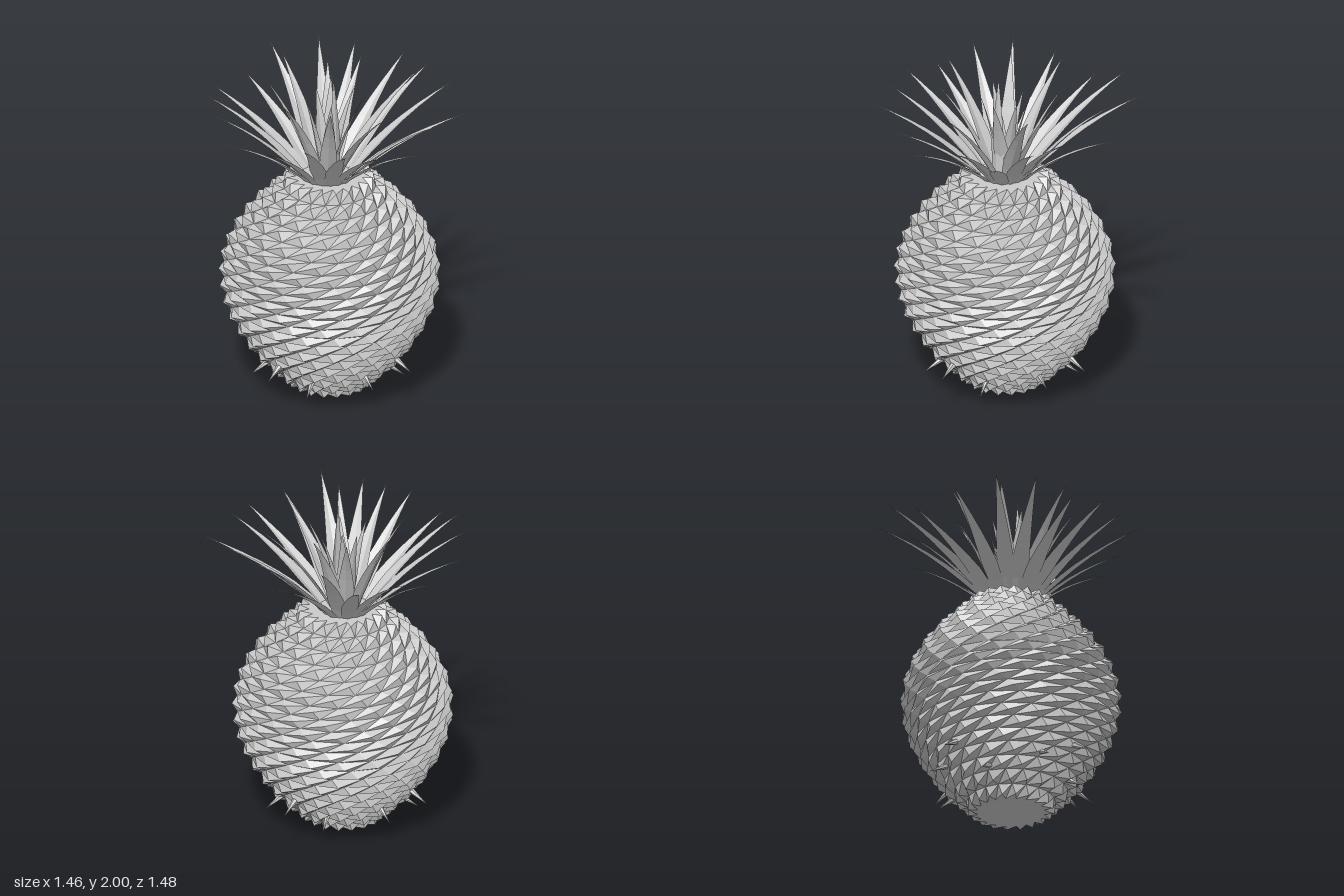
import * as THREE from 'three';

const CX = -0.02, CZ = 0.03; // fruit axis
const LX = -0.03, LZ = 0.04; // crown axis
const grey = new THREE.MeshStandardMaterial({ color: 0xcccccc, flatShading: true });
const thin = new THREE.MeshStandardMaterial({ color: 0xcccccc, flatShading: true, side: THREE.DoubleSide });

// Geometry from a flat list of triangle corners
function fromTriangles(corners) {
  const g = new THREE.BufferGeometry().setFromPoints(corners);
  g.computeVertexNormals();
  return g;
}

// Twisted rings of skewed cells, each cell raised to a low pyramid along its own normal
function makeBody() {
  const radii = [0.19, 0.255, 0.325, 0.38, 0.435, 0.475, 0.515, 0.545, 0.573, 0.59, 0.602,
    0.605, 0.602, 0.588, 0.567, 0.535, 0.498, 0.45, 0.39, 0.33, 0.265, 0.19];
  const N = 20, cell = 2 * Math.PI / N, spike = 0.04;
  const y0 = 0.05, h = 1.315 / (radii.length - 1);
  const point = (k, i) => {
    const a = (i + k * 0.6) * cell;
    return new THREE.Vector3(radii[k] * Math.sin(a), y0 + k * h, radii[k] * Math.cos(a));
  };
  const last = radii.length - 1;
  const bottom = new THREE.Vector3(0, 0.005, 0), top = new THREE.Vector3(0, y0 + last * h, 0);
  const tris = [];
  for (let i = 0; i < N; i++) {
    for (let k = 0; k < last; k++) {
      const a = point(k, i), b = point(k, i + 1), c = point(k + 1, i + 1), d = point(k + 1, i);
      const apex = a.clone().add(b).add(c).add(d).multiplyScalar(0.25);
      const slope = (radii[k] - radii[k + 1]) / h;
      const normal = new THREE.Vector3(apex.x, 0, apex.z).normalize().setY(slope).normalize();
      apex.addScaledVector(normal, spike);
      tris.push(a, b, apex, b, c, apex, c, d, apex, d, a, apex);
    }
    tris.push(bottom, point(0, i + 1), point(0, i));
    tris.push(top, point(last, i), point(last, i + 1));
  }
  const mesh = new THREE.Mesh(fromTriangles(tris), grey);
  mesh.name = 'scalyBody';
  return mesh;
}

// Small thorns leaning outward and down, three rings of four
function makeThorns() {
  const group = new THREE.Group();
  group.name = 'thorns';
  const geo = new THREE.ConeGeometry(0.018, 0.12, 6);
  for (const [r, y, deg] of [[0.53, 0.298, 4], [0.46, 0.235, -20], [0.395, 0.17, 24]]) {
    for (let q = 0; q < 4; q++) {
      const a = THREE.MathUtils.degToRad(deg + q * 90);
      const dir = new THREE.Vector3(Math.sin(a), -0.52, Math.cos(a)).normalize();
      const thorn = new THREE.Mesh(geo, grey);
      thorn.name = 'thorn';
      thorn.position.set(r * Math.sin(a), y, r * Math.cos(a));
      thorn.quaternion.setFromUnitVectors(new THREE.Vector3(0, 1, 0), dir);
      group.add(thorn);
    }
  }
  return group;
}

// Arching, lightly folded blade from the crown to a pointed tip
function makeLeaf([x, z, y], baseRadius, width) {
  const a = Math.atan2(x - LX, z - LZ), s = Math.sin(a), c = Math.cos(a);
  const reach = Math.hypot(x - LX, z - LZ), base = 1.35;
  const bend = baseRadius + (reach - baseRadius) * 0.4;
  const curve = new THREE.QuadraticBezierCurve3(
    new THREE.Vector3(LX + s * baseRadius, base, LZ + c * baseRadius),
    new THREE.Vector3(LX + s * bend, base + (y - base) * 0.61, LZ + c * bend),
    new THREE.Vector3(x, y, z));
  const rows = [], tris = [], steps = 7;
  for (let k = 0; k <= steps; k++) {
    const t = k / steps, p = curve.getPoint(t), d = curve.getTangent(t);
    const out = Math.hypot(d.x, d.z);
    const w = width * 0.5 * (t < 0.3 ? 0.75 + t * 0.83 : (1 - t) / 0.7);
    const fold = w * 0.3; // the midrib sinks toward the outside of the blade
    rows.push([
      new THREE.Vector3(p.x + c * w, p.y, p.z - s * w),
      new THREE.Vector3(p.x + s * d.y * fold, p.y - out * fold, p.z + c * d.y * fold),
      new THREE.Vector3(p.x - c * w, p.y, p.z + s * w),
    ]);
  }
  for (let k = 0; k < steps; k++) {
    for (let i = 0; i < 2; i++) {
      const [p, q, r, u] = [rows[k][i], rows[k + 1][i], rows[k + 1][i + 1], rows[k][i + 1]];
      tris.push(p, q, r, p, r, u);
    }
  }
  const leaf = new THREE.Mesh(fromTriangles(tris), thin);
  leaf.name = 'leaf';
  return leaf;
}

function makeCrown() {
  const group = new THREE.Group();
  group.name = 'leafCrown';
  // Leaf tips as x, z, y
  const outer = [
    [-0.12, -0.74, 1.82], [0.15, -0.64, 1.88], [0.39, -0.57, 1.87], [0.62, -0.43, 1.8],
    [0.64, -0.16, 1.83], [0.73, 0.09, 1.77], [0.63, 0.3, 1.8], [0.54, 0.53, 1.86],
    [0.3, 0.62, 1.85], [0.04, 0.74, 1.81], [-0.2, 0.72, 1.76], [-0.4, 0.62, 1.85],
    [-0.58, 0.47, 1.86], [-0.71, 0.26, 1.8], [-0.72, -0.04, 1.76], [-0.73, -0.27, 1.86],
    [-0.58, -0.52, 1.85], [-0.32, -0.54, 1.9],
  ];
  const inner = [
    [-0.44, -0.04, 1.98], [-0.32, 0.25, 1.97], [0.28, -0.42, 1.98], [0, 0.46, 1.98],
    [0.46, 0.1, 1.91], [0.24, 0.32, 1.95], [-0.1, -0.34, 1.96], [-0.25, -0.22, 1.93],
    [0.02, 0.04, 2],
  ];
  const heart = [
    [0.18, -0.06, 1.92], [-0.08, 0.18, 1.9], [0.04, -0.12, 1.9], [-0.15, 0, 1.88],
    [0.08, 0.13, 1.88], [-0.12, -0.1, 1.92],
  ];
  outer.forEach(tip => group.add(makeLeaf(tip, 0.12, 0.1)));
  inner.forEach(tip => group.add(makeLeaf(tip, 0.06, 0.1)));
  heart.forEach(tip => group.add(makeLeaf(tip, 0.015, 0.09)));
  return group;
}

export function createModel() {
  const model = new THREE.Group();
  model.name = 'pineapple';
  const fruit = new THREE.Group();
  fruit.name = 'fruit';
  fruit.position.set(CX, 0, CZ);
  fruit.add(makeBody(), makeThorns());
  model.add(fruit, makeCrown());
  return model;
}
